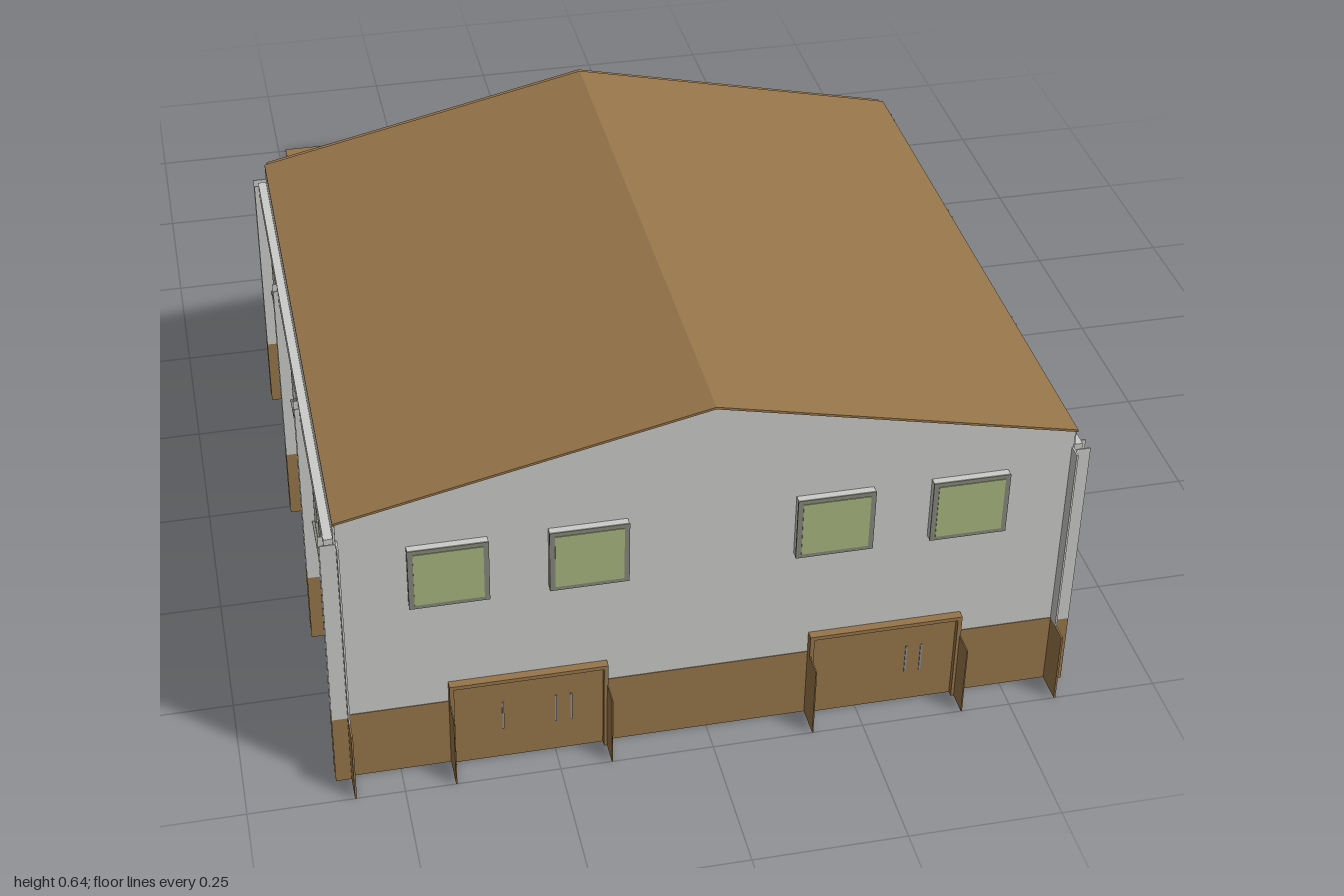
import * as THREE from 'three';

const mat = (name, color) => {
  const m = new THREE.MeshStandardMaterial({ color, side: THREE.DoubleSide });
  m.name = name;
  return m;
};

export function createModel() {
  const root = new THREE.Group();
  root.name = 'openHall';
  const plaster = mat('plaster', 0xcbcbc9);
  const brown = mat('brown', 0x96754a);
  const glass = mat('glass', 0xa8b67e);
  const trim = mat('trimGrey', 0x85877a);
  const steel = mat('steel', 0x8c9196);

  const group = (name) => {
    const g = new THREE.Group();
    g.name = name;
    root.add(g);
    return g;
  };
  // box given by its lower and upper corners
  const box = (name, material, a, b, parent = root) => {
    const size = a.map((v, i) => Math.abs(b[i] - v));
    const m = new THREE.Mesh(new THREE.BoxGeometry(...size), material);
    m.position.set(...a.map((v, i) => (v + b[i]) / 2));
    m.name = name;
    parent.add(m);
    return m;
  };
  // outline in x/y extruded from z0 to z1
  const slab = (name, material, pts, z0, z1, parent = root) => {
    const shape = new THREE.Shape(pts.map((p) => new THREE.Vector2(...p)));
    const g = new THREE.ExtrudeGeometry(shape, { depth: z1 - z0, bevelEnabled: false });
    const m = new THREE.Mesh(g, material);
    m.position.z = z0;
    m.name = name;
    parent.add(m);
    return m;
  };
  const rod = (name, material, a, b, r, parent) => {
    const p = new THREE.Vector3(...a), q = new THREE.Vector3(...b);
    const m = new THREE.Mesh(new THREE.CylinderGeometry(r, r, p.distanceTo(q), 8), material);
    m.position.copy(p).lerp(q, 0.5);
    m.quaternion.setFromUnitVectors(new THREE.Vector3(0, 1, 0), q.sub(p).normalize());
    m.name = name;
    parent.add(m);
  };

  const eave = 0.515, ridge = 0.645, half = 0.583, base = 0.13;
  const roofY = (x) => ridge - (ridge - eave) * Math.abs(x) / half;
  const gableStrip = (depth, top = 0, w = half) => [
    [-w, roofY(w) - top], [0, ridge - top], [w, roofY(w) - top],
    [w, roofY(w) - top - depth], [0, ridge - top - depth], [-w, roofY(w) - top - depth],
  ];

  // floor and yard
  const floor = group('floor');
  box('hallFloor', brown, [-0.58, 0, -0.1], [0.58, 0.004, 0.945], floor);
  box('yard', brown, [-0.485, 0, -1], [0.485, 0.004, -0.1], floor);

  // roof with rafters
  slab('roof', brown, gableStrip(0.004), -0.095, 0.951);
  const rafters = group('rafters');
  for (const z of [-0.108, 0.245, 0.59]) {
    slab('rafter', brown, gableStrip(0.04, 0.004, 0.578), z, z + 0.014, rafters);
  }

  // front gable wall
  slab('frontWall', plaster,
    [[-0.58, base], [0.58, base], [0.58, eave - 0.003], [0, ridge - 0.004], [-0.58, eave - 0.003]],
    0.938, 0.948);
  box('frontPlinth', brown, [-0.58, 0, 0.938], [0.58, base, 0.949]);

  // front windows
  const frontWindows = group('frontWindows');
  for (const x of [-0.413, -0.195, 0.195, 0.413]) {
    box('windowBox', plaster, [x - 0.062, 0.34, 0.946], [x + 0.062, 0.452, 0.96], frontWindows);
    box('windowFrame', trim, [x - 0.0625, 0.3395, 0.959], [x + 0.0625, 0.4525, 0.962], frontWindows);
    box('windowPane', glass, [x - 0.054, 0.347, 0.961], [x + 0.054, 0.445, 0.963], frontWindows);
    box('innerPane', glass, [x - 0.054, 0.347, 0.936], [x + 0.054, 0.445, 0.939], frontWindows);
  }

  // doors with projecting jambs
  const doors = group('doors');
  for (const s of [-1, 1]) {
    const x = s * 0.292;
    box('doorLeaf', brown, [x - 0.12, 0, 0.936], [x + 0.12, 0.163, 0.952], doors);
    box('doorLintel', brown, [x - 0.127, 0.163, 0.936], [x + 0.127, 0.17, 0.962], doors);
    for (const j of [-1, 1]) {
      box('doorPost', brown, [x + j * 0.12, 0, 0.936], [x + j * 0.127, 0.165, 0.962], doors);
      box('doorFin', brown, [x + j * 0.125, 0, 0.95], [x + j * 0.127, base, 1], doors);
    }
  }
  for (const x of [-0.335, -0.25, -0.225, 0.33, 0.355]) {
    box('doorGrip', steel, [x, 0.06, 0.951], [x + 0.003, 0.115, 0.9535], doors);
  }

  // side walls, their windows and columns, mirrored
  const bays = [[0.615, 0.922], [0.275, 0.58], [-0.07, 0.235]];
  const posts = [0.944, 0.597, 0.255, -0.092];
  for (const s of [-1, 1]) {
    const side = group(s > 0 ? 'leftSide' : 'rightSide');
    const b = (n, m, x0, x1, y0, y1, z0, z1) => box(n, m, [s * x0, y0, z0], [s * x1, y1, z1], side);
    b('sidePlinth', brown, 0.573, 0.584, 0, base, -0.095, 0.945);
    b('lowerWall', plaster, 0.573, 0.583, base, 0.25, -0.09, 0.945);
    b('upperWall', plaster, 0.573, 0.583, 0.45, eave - 0.004, -0.09, 0.945);
    b('eaveLedge', plaster, 0.58, 0.597, 0.455, 0.48, -0.092, 0.942);
    b('sill', trim, 0.58, 0.59, 0.247, 0.25, -0.09, 0.942);

    for (const [z0, z1] of bays) {
      b('pane', glass, 0.576, 0.58, 0.25, 0.45, z0, z1);
      for (let i = 0; i <= 4; i++) {
        const z = z0 + (z1 - z0) * i / 4;
        b('mullion', trim, 0.574, 0.586, 0.25, 0.45, z - 0.001, z + 0.001);
      }
      for (const y of [0.251, 0.38, 0.449]) {
        b('transom', trim, 0.574, 0.586, y - 0.001, y + 0.001, z0, z1);
      }
    }

    posts.forEach((z, i) => {
      const end = i === 0 || i === 3;
      b('pier', plaster, 0.573, 0.583, 0.25, 0.45, z - (i === 3 ? 0 : 0.024), z + (i === 0 ? 0 : 0.022));
      // paired thin fins, brown at the foot
      for (const d of [-0.011, 0.011]) {
        b('columnFin', plaster, 0.578, 0.605, base, 0.48, z + d - 0.001, z + d + 0.001);
        b('columnFoot', brown, 0.578, 0.605, 0, base, z + d - 0.001, z + d + 0.001);
      }
      if (end) {
        const [z0, z1] = i === 0 ? [0.935, 0.97] : [-0.11, -0.075];
        b('cornerFin', plaster, 0.577, 0.58, base, 0.48, z0, z1);
        b('cornerFoot', brown, 0.577, 0.58, 0, base, z0, i === 0 ? 1 : z1);
      }
    });
  }

  // roof trusses: tie, hangers and brackets
  const trusses = group('trusses');
  for (const z of [-0.09, 0.25, 0.597]) {
    rod('tie', steel, [-0.575, 0.488, z], [0.575, 0.488, z], 0.005, trusses);
    for (const x of [-0.36, -0.18, 0, 0.18, 0.36]) {
      rod('hanger', steel, [x, 0.48, z], [x, roofY(x) - 0.006, z], 0.004, trusses);
      box('bracket', steel, [x - 0.012, roofY(x) - 0.05, z - 0.008],
        [x + 0.012, roofY(x) - 0.035, z + 0.008], trusses);
    }
  }
  // long pipes under the roof
  for (const x of [-0.36, 0, 0.36]) {
    rod('longPipe', steel, [x, 0.495, -0.09], [x, 0.495, 0.938], 0.004, trusses);
  }

  // hanging lamps
  const lamps = group('lamps');
  for (const x of [-0.27, 0.27]) for (const z of [0.08, 0.42, 0.77]) {
    rod('lampStem', steel, [x, 0.44, z], [x, roofY(x) - 0.006, z], 0.002, lamps);
    const shade = new THREE.Mesh(new THREE.CylinderGeometry(0.008, 0.022, 0.02, 12), steel);
    shade.position.set(x, 0.435, z);
    shade.name = 'lampShade';
    lamps.add(shade);
  }
  return root;
}
